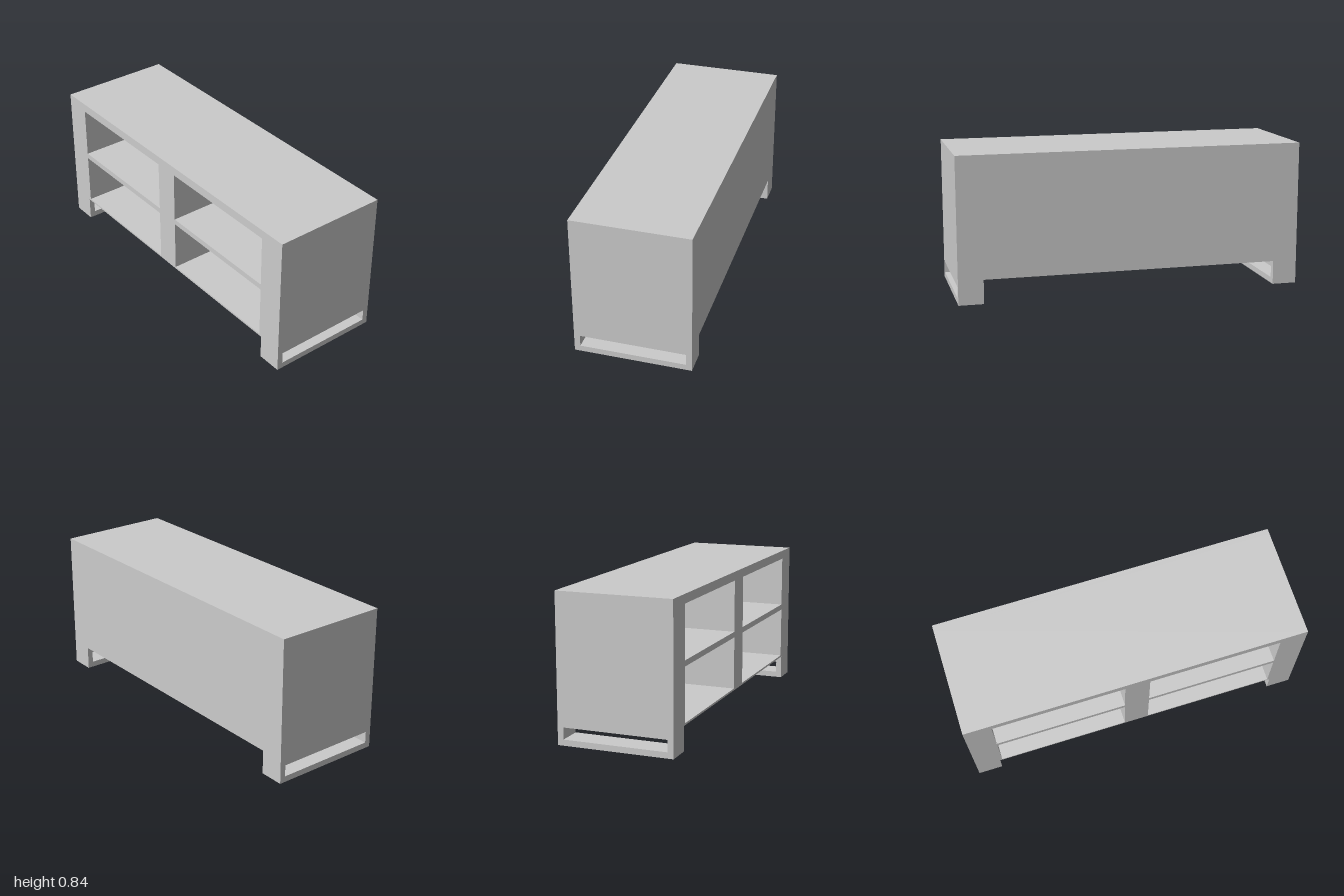
import * as THREE from 'three';

const W = 2, H = 0.838, D = 0.667;
const LEG_H = 0.139, LEG_W = 0.143, BACK = 0.033;

// Adds a rectangle outline to a Shape or Path.
function rect(path, x0, y0, x1, y1) {
  path.moveTo(x0, y0);
  path.lineTo(x1, y0);
  path.lineTo(x1, y1);
  path.lineTo(x0, y1);
  path.closePath();
  return path;
}

export function createModel() {
  const group = new THREE.Group();
  const material = new THREE.MeshStandardMaterial({ color: 0xcccccc, flatShading: true });

  const add = (name, geometry, x, y, z) => {
    const mesh = new THREE.Mesh(geometry, material);
    mesh.name = name;
    mesh.position.set(x, y, z);
    group.add(mesh);
    return mesh;
  };

  // Cabinet body with four open compartments
  const front = rect(new THREE.Shape(), -W / 2, LEG_H, W / 2, H);
  for (const [x0, x1] of [[-0.842, -0.073], [0.073, 0.842]]) {
    for (const [y0, y1] of [[0.15, 0.455], [0.488, 0.787]]) {
      front.holes.push(rect(new THREE.Path(), x0, y0, x1, y1));
    }
  }
  add('cabinetBody', new THREE.ExtrudeGeometry(front, { depth: D - BACK, bevelEnabled: false }),
    0, 0, -D / 2 + BACK);

  // Solid back closing the compartments
  add('backPanel', new THREE.BoxGeometry(W, H - LEG_H, BACK), 0, (H + LEG_H) / 2, -D / 2 + BACK / 2);

  // Legs: full-depth frames with a long slot through the side
  const side = rect(new THREE.Shape(), -D / 2, 0, D / 2, LEG_H);
  side.holes.push(rect(new THREE.Path(), -0.3, 0.034, 0.3, 0.101));
  const legGeometry = new THREE.ExtrudeGeometry(side, { depth: LEG_W, bevelEnabled: false });
  legGeometry.rotateY(Math.PI / 2);
  add('leftLeg', legGeometry, W / 2 - LEG_W, 0, 0);
  add('rightLeg', legGeometry, -W / 2, 0, 0);

  return group;
}
